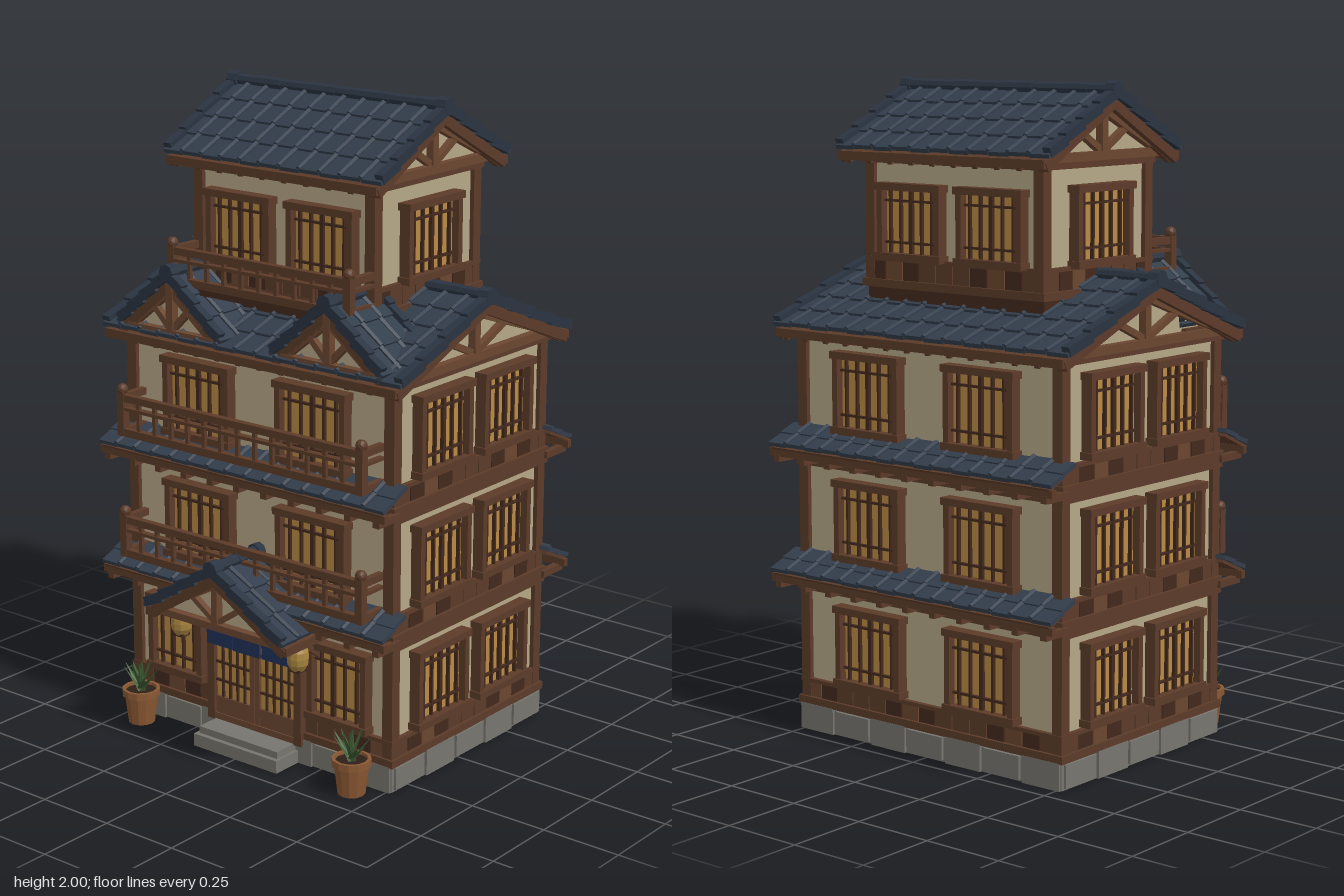
import * as THREE from 'three';
import { mergeGeometries } from 'three/addons/utils/BufferGeometryUtils.js';

const mat = (color, extra = {}) => new THREE.MeshStandardMaterial({ color, flatShading: true, ...extra });
const M = {
  wood: mat(0x5c3b29), darkWood: mat(0x43291c), lightWood: mat(0x6b4630), plaster: mat(0xb5a787),
  tile: mat(0x323d4b), tileDark: mat(0x2a3441), glow: mat(0xb98a45), stone: mat(0x77756e),
  cloth: mat(0x20305a, { side: THREE.DoubleSide }), clay: mat(0x8a5833), soil: mat(0x2c2018),
  leaf: mat(0x3d5a32), lantern: mat(0xa8843f),
};
const V = (x, y, z) => new THREE.Vector3(x, y, z);
const box = (w, h, d, x = 0, y = 0, z = 0) => new THREE.BoxGeometry(w, h, d).translate(x, y, z);
const ball = (r, x, y, z) => new THREE.IcosahedronGeometry(r, 1).translate(x, y, z);

// Square timber between two points
function beam(a, b, w, h = w) {
  const d = b.clone().sub(a), g = new THREE.BoxGeometry(w, h, d.length());
  g.applyQuaternion(new THREE.Quaternion().setFromUnitVectors(V(0, 0, 1), d.normalize()));
  return g.translate((a.x + b.x) / 2, (a.y + b.y) / 2, (a.z + b.z) / 2);
}
function part(parent, name, material, geos) {
  const mesh = new THREE.Mesh(mergeGeometries(geos.map(g => (g.index ? g.toNonIndexed() : g))), material);
  mesh.name = name;
  parent.add(mesh);
}
function group(parent, name, x = 0, y = 0, z = 0, ry = 0) {
  const g = new THREE.Group();
  g.name = name;
  g.position.set(x, y, z);
  g.rotation.y = ry;
  parent.add(g);
  return g;
}

// Overlapping tile courses running down +z from the origin
function tileSlope(width, run, rise) {
  const L = Math.hypot(run, rise), rows = Math.max(2, Math.round(L / 0.09)), cols = Math.round(width / 0.075);
  const rl = L / rows, cw = width / cols, out = [];
  for (let r = 0; r < rows; r++) for (let c = 0; c < cols; c++) {
    const x = -width / 2 + (c + 0.5) * cw, lift = c % 2 ? 0.003 : 0;
    out.push(box(cw * 0.97, 0.013, rl * 1.1).rotateX(-0.08).translate(x, lift, (r + 0.5) * rl));
    if (c) out.push(new THREE.CylinderGeometry(0.011, 0.009, rl * 1.05, 6).rotateX(-Math.PI / 2 - 0.08)
      .translate(x - cw / 2, 0.007, (r + 0.5) * rl));
  }
  return out.map(g => g.rotateX(Math.atan2(rise, run)));
}

// Gabled roof with its ridge on local x; wallX is half the length of the attic beneath
function gableRoof(parent, name, o) {
  const { len, run, rise, wallX, span, t = 0.026 } = o;
  const g = group(parent, name, o.x, o.y, o.z, o.ry);
  const tiles = [], verge = [], wood = [], truss = [];
  for (const s of [1, -1]) {
    tileSlope(len, run, rise).forEach(q => tiles.push(s < 0 ? q.rotateY(Math.PI) : q));
    wood.push(beam(V(0, -0.018, 0), V(0, -rise - 0.018, s * run), len - 0.03, 0.014));
    wood.push(box(len - 0.03, 0.026, 0.02, 0, -rise - 0.022, s * (run + 0.002)));
    const n = Math.round(len / 0.09);
    for (let i = 0; i <= n; i++) {
      const x = (i / n - 0.5) * (len - 0.08);
      wood.push(beam(V(x, -rise * 0.7 - 0.035, s * run * 0.7), V(x, -rise - 0.035, s * (run - 0.005)), 0.018, 0.022));
    }
    // Verge tiles, bargeboards and gable truss
    for (const e of [1, -1]) {
      const x = e * (len / 2 - 0.012);
      for (let k = 0; k < 4; k++) {
        const a = k / 4, b = Math.min((k + 1.1) / 4, 1);
        verge.push(beam(V(x, 0.002 - rise * a, s * run * a), V(x, 0.012 - rise * b, s * run * b), 0.028, 0.03));
      }
      wood.push(beam(V(x - e * 0.01, -0.03, 0), V(x - e * 0.01, -rise - 0.03, s * run), 0.02, 0.03));
      const tx = e * (wallX + 0.008);
      truss.push(beam(V(tx, -0.045, 0), V(tx, -rise - 0.01, s * span), 0.03, t));
      truss.push(beam(V(tx, -rise, 0), V(tx, -rise * 0.55, s * span * 0.45), 0.024, t * 0.75));
    }
    truss.push(box(0.035, t, span * 2, s * (wallX + 0.008), -rise - 0.01, 0));
    truss.push(box(0.035, rise, t, s * (wallX + 0.008), -rise / 2 - 0.02, 0));
  }
  part(g, 'roofTiles', M.tile, tiles);
  part(g, 'vergeTiles', M.tileDark, verge);
  part(g, 'eaveTimber', M.wood, wood);
  part(g, 'gableTruss', M.lightWood, truss);
  const tri = new THREE.Shape([[-span, -rise - 0.02], [span, -rise - 0.02], [0, -0.03]].map(p => new THREE.Vector2(...p)));
  part(g, 'gableWall', M.plaster, [new THREE.ExtrudeGeometry(tri, { depth: wallX * 2, bevelEnabled: false })
    .translate(0, 0, -wallX).rotateY(Math.PI / 2)]);
  // Ridge of short round caps, larger at the ends
  const n = Math.max(2, Math.round(len / 0.1)), ridge = [], cap = (r, l, x) =>
    new THREE.CylinderGeometry(r, r, l, 8).rotateZ(Math.PI / 2).translate(x, 0.01, 0);
  for (let i = 0; i < n; i++) ridge.push(cap(i % 2 ? 0.02 : 0.018, len / n, ((i + 0.5) / n - 0.5) * len));
  for (const e of [1, -1]) ridge.push(cap(0.026, 0.036, e * (len / 2 - 0.015)));
  part(g, 'ridgeCaps', M.tileDark, ridge);
}

// Lattice window facing local +z
function latticeWindow(parent, w, h, x, y, z, ry) {
  const g = group(parent, 'window', x, y, z, ry), f = [], bars = [];
  part(g, 'windowPane', M.glow, [box(w - 0.02, h - 0.02, 0.016, 0, 0, 0.004)]);
  for (const s of [1, -1]) {
    f.push(box(0.02, h, 0.036, s * (w / 2 - 0.01), 0, 0.018));
    f.push(box(w + 0.012, 0.022, 0.044, 0, s * (h / 2 - 0.011), 0.02));
  }
  const n = Math.round(w / 0.042);
  for (let i = 1; i < n; i++) bars.push(box(i === n >> 1 ? 0.013 : 0.007, h - 0.03, 0.014, (i / n - 0.5) * w, 0, 0.016));
  for (const s of [0.27, -0.27]) bars.push(box(w - 0.03, 0.007, 0.012, 0, s * h, 0.016));
  part(g, 'windowFrame', M.wood, f);
  part(g, 'windowLattice', M.darkWood, bars);
}

// One storey: plaster core, corner posts, plank skirting and bands
function storey(parent, name, hx, hz, cz, y0, y1, dado) {
  const g = group(parent, name, 0, 0, cz), h = y1 - y0, posts = [], planks = [[], [], []];
  part(g, 'plasterWalls', M.plaster, [box(hx * 2, h, hz * 2, 0, (y0 + y1) / 2, 0)]);
  for (const sx of [1, -1]) for (const sz of [1, -1])
    posts.push(box(0.036, h, 0.036, sx * (hx - 0.004), (y0 + y1) / 2, sz * (hz - 0.004)));
  const ring = (y, t, out) => {
    for (const s of [1, -1]) posts.push(box(hx * 2 + out * 2, t, 0.03, 0, y, s * (hz + out - 0.015)),
      box(0.03, t, hz * 2 + out * 2 - 0.04, s * (hx + out - 0.015), y, 0));
  };
  ring(y0 + 0.012, 0.024, 0.022);
  ring(y0 + dado, 0.012, 0.016);
  ring(y1 - 0.014, 0.028, 0.02);
  part(g, 'postsAndBands', M.wood, posts);
  for (const s of [1, -1]) for (const [len, alongX] of [[hx * 2, true], [hz * 2, false]]) {
    const n = Math.round(len / 0.065);
    for (let i = 0; i < n; i++) {
      const u = ((i + 0.5) / n - 0.5) * len, w = len / n - 0.004, y = y0 + dado / 2;
      planks[(i * i + (i >> 1)) % 3].push(alongX ? box(w, dado, 0.016, u, y, s * (hz + 0.004)) : box(0.016, dado, w, s * (hx + 0.004), y, u));
    }
  }
  planks.forEach((p, i) => part(g, 'skirtingPlanks', [M.wood, M.darkWood, M.lightWood][i], p));
}

// Narrow tiled canopy between storeys
function canopy(parent, y, z, ry) {
  const g = group(parent, 'canopyRoof', 0, y, z, ry), run = 0.105, rise = 0.05, w = [];
  part(g, 'canopyTiles', M.tile, tileSlope(1.1, run, rise));
  w.push(box(1.1, 0.024, 0.018, 0, -rise - 0.022, run - 0.01), beam(V(0, -0.015, 0), V(0, -rise - 0.012, run), 1.08, 0.01));
  for (let i = 0; i <= 10; i++) w.push(box(0.022, 0.022, run, (i / 10 - 0.5) * 1.04, -rise - 0.04, run / 2));
  part(g, 'canopyTimber', M.wood, w);
}

// Balcony railing with returns to the wall
function railing(parent, hx, y, h, z, wallZ) {
  const w = [], n = Math.round(hx * 2 / 0.068);
  for (const [v, t] of [[0.012, 0.024], [h * 0.86, 0.022], [h * 0.62, 0.01]]) {
    w.push(box(hx * 2, t, 0.022, 0, y + v, z));
    for (const s of [1, -1]) w.push(box(0.02, t, z - wallZ, s * hx, y + v, (z + wallZ) / 2));
  }
  for (let i = 1; i < n; i++) w.push(box(0.012, h * 0.86, 0.012, (i / n - 0.5) * hx * 2, y + h * 0.43, z));
  for (const s of [1, -1]) w.push(box(0.026, h, 0.026, s * hx, y + h / 2, z), ball(0.018, s * hx, y + h + 0.006, z));
  part(parent, 'balconyRailing', M.wood, w);
}

export function createModel() {
  const root = new THREE.Group();
  root.name = 'timberInn';
  const cz = -0.055, HX = 0.5, HZ = 0.37, front = cz + HZ, back = cz - HZ;

  // Stone base and step
  const stones = [box(1.03, 0.075, 0.77, 0, 0.0375, cz)];
  for (const s of [1, -1]) for (let i = 0; i < 7; i++) {
    stones.push(box(0.135, i % 2 ? 0.07 : 0.082, 0.02, (i - 3) * 0.148, 0.041, cz + s * 0.383));
    if (i < 5) stones.push(box(0.02, i % 2 ? 0.082 : 0.07, 0.14, s * 0.513, 0.041, cz + (i - 2) * 0.152));
  }
  part(root, 'stoneBase', M.stone, stones);
  part(root, 'doorStep', M.stone, [box(0.33, 0.04, 0.11, 0, 0.02, 0.385), box(0.31, 0.022, 0.09, 0, 0.051, 0.38)]);

  // Three main storeys with windows on every side
  [[0.08, 0.47], [0.47, 0.86], [0.86, 1.25]].forEach(([y0, y1], f) => {
    storey(root, 'mainStorey', HX, HZ, cz, y0, y1, 0.075);
    const y = y0 + 0.21;
    for (const s of [1, -1]) {
      latticeWindow(root, f ? 0.26 : 0.22, 0.25, s * (f ? 0.22 : 0.32), y, front, 0);
      latticeWindow(root, 0.26, 0.25, s * 0.22, y, back, Math.PI);
      for (const dz of [0.155, -0.155]) latticeWindow(root, 0.25, 0.25, s * HX, y, cz + dz, s * Math.PI / 2);
    }
    if (f) {
      canopy(root, y0 + 0.09, front, 0);
      canopy(root, y0 + 0.09, back, Math.PI);
      railing(root, 0.46, y0 + 0.075, 0.14, 0.41, front);
    }
  });
  gableRoof(root, 'mainRoof', { len: 1.14, run: 0.425, rise: 0.17, wallX: 0.5, span: 0.385, y: 1.43, z: cz });
  for (const s of [1, -1]) gableRoof(root, 'dormer', { len: 0.25, run: 0.2, rise: 0.17, wallX: 0.09, span: 0.17,
    x: s * 0.3, y: 1.45, z: 0.255, ry: Math.PI / 2 });

  // Top storey
  storey(root, 'topStorey', 0.33, 0.245, cz, 1.38, 1.78, 0.085);
  part(root, 'topStoreyFooting', M.darkWood, [box(0.68, 0.13, 0.5, 0, 1.33, cz), box(0.68, 0.02, 0.13, 0, 1.4, 0.25)]);
  for (const s of [1, -1]) {
    latticeWindow(root, 0.245, 0.23, s * 0.155, 1.58, cz + 0.245, 0);
    latticeWindow(root, 0.245, 0.23, s * 0.155, 1.58, cz - 0.245, Math.PI);
    latticeWindow(root, 0.26, 0.24, s * 0.335, 1.585, cz, s * Math.PI / 2);
  }
  railing(root, 0.335, 1.41, 0.12, 0.31, cz + 0.245);
  gableRoof(root, 'topRoof', { len: 0.82, run: 0.31, rise: 0.17, wallX: 0.34, span: 0.285, y: 1.965, z: cz });

  // Entrance porch
  gableRoof(root, 'porchRoof', { len: 0.23, run: 0.265, rise: 0.165, wallX: 0.075, span: 0.24, t: 0.022,
    y: 0.63, z: 0.425, ry: Math.PI / 2 });
  const pw = [];
  for (const s of [1, -1]) {
    pw.push(box(0.024, 0.024, 0.17, s * 0.235, 0.45, 0.4), beam(V(s * 0.235, 0.36, front), V(s * 0.235, 0.445, 0.43), 0.018));
    pw.push(box(0.028, 0.4, 0.045, s * 0.172, 0.26, front + 0.012));
  }
  part(root, 'porchTimber', M.wood, pw);

  // Sliding doors and cloth curtain
  const door = group(root, 'slidingDoors', 0, 0, front + 0.012), frame = [], bars = [];
  part(door, 'doorPane', M.glow, [box(0.32, 0.3, 0.014, 0, 0.28, 0)]);
  for (const s of [1, -1]) {
    frame.push(box(0.15, 0.075, 0.024, s * 0.08, 0.1, 0.004), box(0.018, 0.4, 0.026, s * 0.01, 0.26, 0.004));
    for (let i = 1; i < 5; i++) bars.push(box(0.007, 0.3, 0.012, s * (0.015 + i * 0.029), 0.28, 0.008));
  }
  for (const y of [0.19, 0.25, 0.31]) bars.push(box(0.32, 0.007, 0.012, 0, y, 0.008));
  frame.push(box(0.34, 0.024, 0.04, 0, 0.07, 0), box(0.34, 0.024, 0.04, 0, 0.45, 0));
  part(door, 'doorFrame', M.lightWood, frame);
  part(door, 'doorLattice', M.darkWood, bars);
  part(root, 'doorCurtain', M.cloth, [-1, 0, 1].map(i => box(0.104, 0.135, 0.006, i * 0.109, 0.39, 0.375 + (i ? 0 : 0.004))));
  part(root, 'curtainRod', M.darkWood, [box(0.36, 0.012, 0.012, 0, 0.458, 0.376)]);

  for (const s of [1, -1]) {
    // Hanging lanterns
    const l = group(root, 'lantern', s * 0.23, 0.385, 0.415);
    const prof = [[0.001, -0.04], [0.02, -0.04], [0.032, -0.02], [0.034, 0], [0.032, 0.02], [0.02, 0.04], [0.001, 0.04]];
    part(l, 'lanternShade', M.lantern, [new THREE.LatheGeometry(prof.map(p => new THREE.Vector2(...p)), 10)]);
    part(l, 'lanternFittings', M.darkWood, [box(0.036, 0.01, 0.036, 0, 0.04, 0), box(0.036, 0.01, 0.036, 0, -0.04, 0), box(0.006, 0.04, 0.006, 0, 0.06, 0)]);
    // Potted plants
    const p = group(root, 'pottedPlant', s * 0.42, 0, 0.4);
    const pot = [[0.001, 0], [0.042, 0], [0.053, 0.09], [0.06, 0.09], [0.06, 0.112], [0.05, 0.112], [0.048, 0.098]];
    part(p, 'pot', M.clay, [new THREE.LatheGeometry(pot.map(q => new THREE.Vector2(...q)), 12)]);
    part(p, 'soil', M.soil, [new THREE.CylinderGeometry(0.05, 0.05, 0.01, 12).translate(0, 0.098, 0)]);
    part(p, 'leaves', M.leaf, Array.from({ length: 16 }, (_, i) => new THREE.ConeGeometry(0.014, 0.1, 4).scale(1, 1, 0.4)
      .translate(0, 0.05, 0).rotateX(0.1 + (i % 4) * 0.26).rotateY(i * 2.4).translate(0, 0.1 + (i % 2) * 0.012, 0)));
  }
  return root;
}
